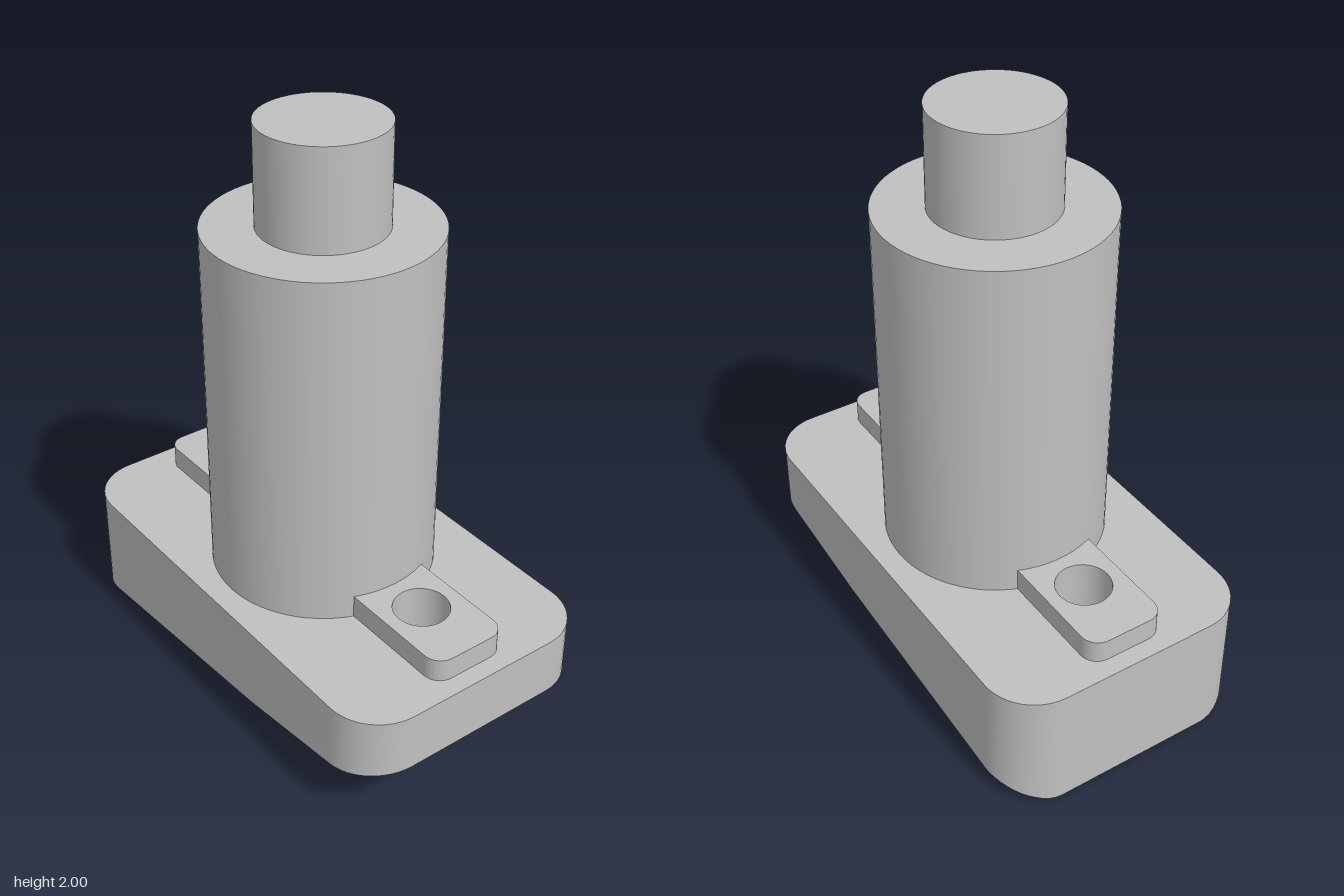
import * as THREE from 'three';
import { toCreasedNormals } from 'three/addons/utils/BufferGeometryUtils.js';

const X = 0.825, Z = 0.457, R = 0.18, KINK = 0.22;
const BASE_TOP = 0.445, PAD_TOP = 0.525, HOLE_X = 0.52, HOLE_R = 0.093;

// Height of the sloping underside, as [x, y] steps
const SLOPE = [[-X, 0], [-0.8, 0.022], [-0.77, 0.038], [-0.73, 0.054], [-0.69, 0.063],
  [-0.645, 0.068], [KINK, 0.15], [X, 0.24]];
function underside(x) {
  for (let i = 1; i < SLOPE.length; i++) {
    const [x0, y0] = SLOPE[i - 1], [x1, y1] = SLOPE[i];
    if (x <= x1 + 1e-6) return y0 + (y1 - y0) * (x - x0) / (x1 - x0);
  }
  return 0.24;
}

// Half width of the base along x, with rounded ends
function halfWidths() {
  const left = [], n = 12;
  for (let i = 0; i <= n; i++) {
    const t = (i / n) * Math.PI / 2;
    left.push([-X + R * (1 - Math.cos(t)), Z - R + R * Math.sin(t)]);
  }
  const right = left.map(([x, w]) => [-x, w]).reverse();
  return [...left, [KINK, Z], ...right];
}

const outline = (ws) => [
  ...ws.map(([x, w]) => new THREE.Vector2(x, -w)),
  ...ws.map(([x, w]) => new THREE.Vector2(x, w)).reverse(),
];

function circle(x) {
  const pts = [];
  for (let i = 0; i < 40; i++) {
    const a = (i / 40) * Math.PI * 2;
    pts.push(new THREE.Vector2(x + HOLE_R * Math.cos(a), HOLE_R * Math.sin(a)));
  }
  return pts;
}

function plate(points, holes) {
  const s = new THREE.Shape(points);
  for (const x of holes) s.holes.push(new THREE.Path(circle(x)));
  return new THREE.ShapeGeometry(s);
}

// Wall from the underside up to the top of the base
function wall(ring) {
  const v = [];
  ring.forEach((a, i) => {
    const b = ring[(i + 1) % ring.length];
    const a0 = [a.x, underside(a.x), -a.y], b0 = [b.x, underside(b.x), -b.y];
    const a1 = [a.x, BASE_TOP, -a.y], b1 = [b.x, BASE_TOP, -b.y];
    v.push(...a0, ...b0, ...b1, ...a0, ...b1, ...a1);
  });
  const g = new THREE.BufferGeometry();
  g.setAttribute('position', new THREE.Float32BufferAttribute(v, 3));
  return toCreasedNormals(g, 0.6);
}

export function createModel() {
  const model = new THREE.Group();
  model.name = 'flangedPost';
  const metal = new THREE.MeshStandardMaterial({ color: 0xc0c0c0 });
  metal.name = 'grey metal';
  const add = (parent, name, geometry, x = 0, y = 0) => {
    const m = new THREE.Mesh(geometry, metal);
    m.name = name;
    m.position.set(x, y, 0);
    parent.add(m);
    return m;
  };

  // Base with a sloping underside and two bolt holes
  const base = new THREE.Group();
  base.name = 'base';
  model.add(base);
  const ws = halfWidths();
  add(base, 'baseTop', plate(outline(ws), [-HOLE_X, HOLE_X]).rotateX(-Math.PI / 2), 0, BASE_TOP);
  add(base, 'baseSides', wall(outline(ws)));
  for (const x of [-HOLE_X, HOLE_X]) add(base, 'boltHole', wall(circle(x).reverse()));

  // Underside: narrow strips over the curled end, then two flat ramps
  const strips = [];
  for (let i = 0; i < 12; i++) strips.push([ws.slice(i, i + 2), []]);
  strips.push([ws.slice(12, 14), [-HOLE_X]], [ws.slice(13), [HOLE_X]]);
  const v = [];
  for (const [part, holes] of strips) {
    const p = plate(outline(part), holes).rotateX(Math.PI / 2).toNonIndexed().attributes.position;
    for (let i = 0; i < p.count; i++) v.push(p.getX(i), underside(p.getX(i)), p.getZ(i));
  }
  const bottom = new THREE.BufferGeometry();
  bottom.setAttribute('position', new THREE.Float32BufferAttribute(v, 3));
  add(base, 'underside', toCreasedNormals(bottom, 0.5));

  // Raised pads around the bolt holes
  for (const side of [-1, 1]) {
    const s = new THREE.Shape();
    const x0 = 0.33, x1 = 0.763, w = 0.14, r = 0.06;
    s.moveTo(x0, -w);
    s.lineTo(x1 - r, -w);
    s.absarc(x1 - r, -w + r, r, -Math.PI / 2, 0);
    s.absarc(x1 - r, w - r, r, 0, Math.PI / 2);
    s.lineTo(x0, w);
    s.holes.push(new THREE.Path(circle(HOLE_X)));
    const g = new THREE.ExtrudeGeometry(s, { depth: PAD_TOP - BASE_TOP, bevelEnabled: false, curveSegments: 10 });
    g.rotateX(-Math.PI / 2);
    if (side < 0) g.rotateY(Math.PI);
    add(model, side < 0 ? 'rightPad' : 'leftPad', toCreasedNormals(g, 0.6), 0, BASE_TOP);
  }

  // Main column and the thinner shaft on top
  add(model, 'column', new THREE.CylinderGeometry(0.378, 0.378, 1.218, 72), 0, 1.054);
  add(model, 'shaft', new THREE.CylinderGeometry(0.209, 0.209, 0.337, 64), 0, 1.8315);
  return model;
}
